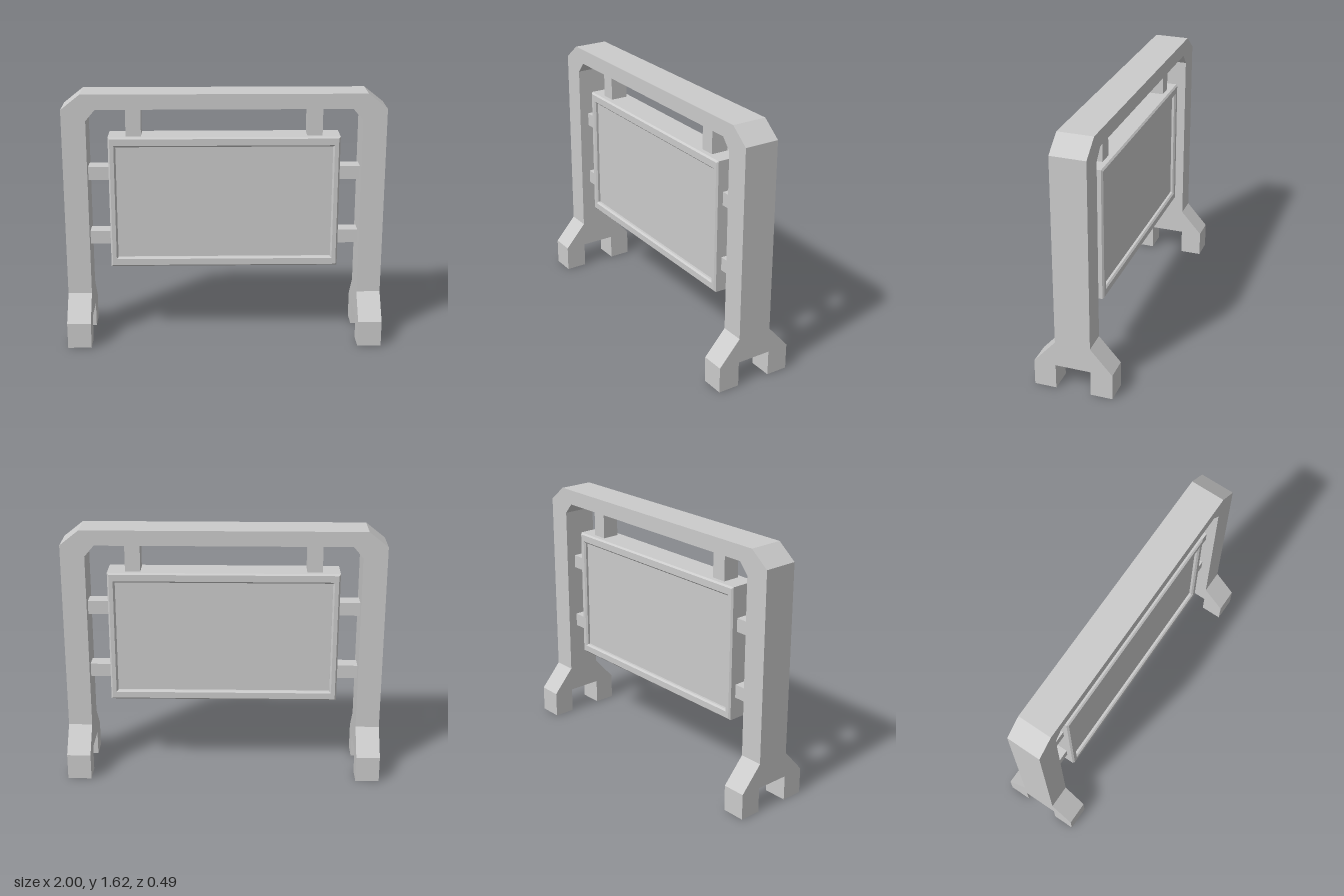
import * as THREE from 'three';

const material = new THREE.MeshStandardMaterial({ color: 0xcccccc, flatShading: true });

const outline = (points) => points.map(([x, y]) => new THREE.Vector2(x, y));

// Half of a symmetric outline, mirrored across x = 0
const mirrored = (half) => outline([...half, ...half.map(([x, y]) => [-x, y]).reverse()]);

const rect = (x, y0, y1) => mirrored([[x, y0], [x, y1]]);

// Extrude centred on z = 0, with an optional bevel kept inside the outline
function extrude(shape, depth, bevel = 0) {
  const geometry = new THREE.ExtrudeGeometry(shape, {
    depth: depth - 2 * bevel,
    bevelEnabled: bevel > 0,
    bevelSize: bevel,
    bevelThickness: bevel,
    bevelOffset: -bevel,
    bevelSegments: 1,
  });
  return geometry.translate(0, 0, -depth / 2 + bevel);
}

export function createModel() {
  const group = new THREE.Group();
  const add = (name, geometry, x = 0, y = 0, z = 0) => {
    const mesh = new THREE.Mesh(geometry, material);
    mesh.name = name;
    mesh.position.set(x, y, z);
    group.add(mesh);
    return mesh;
  };

  // Posts and top beam as one chamfered arch
  const arch = new THREE.Shape(mirrored([
    [0.85, 0.32], [1, 0.32], [1, 1.52], [0.88, 1.615],
  ]).concat(mirrored([
    [-0.85, 0.32], [-0.85, 1.45], [-0.79, 1.52],
  ]).slice(0, 6)));
  add('outerFrame', extrude(arch, 0.22));

  // Forked feet, profile drawn across the depth
  const footShape = new THREE.Shape(mirrored([
    [0.11, 0.16], [0.11, 0], [0.247, 0], [0.247, 0.165], [0.11, 0.32],
  ]));
  const footGeometry = extrude(footShape, 0.15).rotateY(-Math.PI / 2);

  for (const side of [-1, 1]) {
    const prefix = side > 0 ? 'left' : 'right';
    add(prefix + 'Foot', footGeometry, side * 0.925);

    // Hanger from the beam and two brackets to the post
    add(prefix + 'Hanger', new THREE.BoxGeometry(0.095, 0.22, 0.11), side * 0.563, 1.425);
    for (const [level, y] of [['Lower', 0.677], ['Upper', 1.1]]) {
      add(prefix + level + 'Bracket', new THREE.BoxGeometry(0.16, 0.085, 0.1), side * 0.785, y);
    }
  }

  // Raised border around the sign, open through its depth
  const border = new THREE.Shape(rect(0.72, 0.495, 1.34));
  border.holes.push(new THREE.Path(rect(0.675, 0.555, 1.278)));
  add('signBorder', extrude(border, 0.19, 0.01));

  // Recessed board showing on both faces
  add('signBoard', new THREE.BoxGeometry(1.37, 0.75, 0.14), 0, 0.917);

  return group;
}
